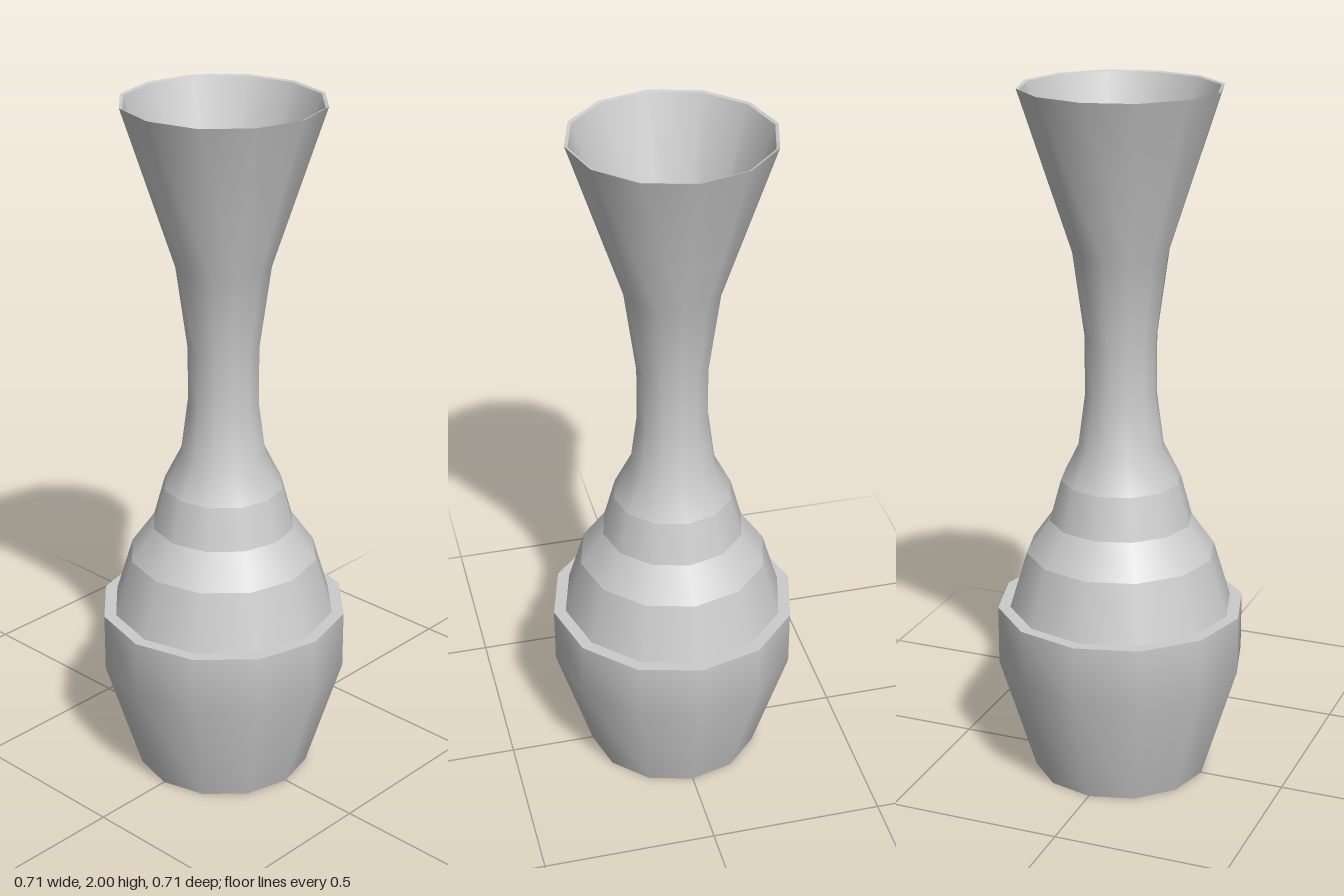
import * as THREE from 'three';
import { mergeGeometries } from 'three/addons/utils/BufferGeometryUtils.js';

const SIDES = 12;

// Each band is a list of [radius, y]; shading is smooth inside a band and sharp between bands.
function turned(name, bands, material) {
  const parts = bands.map(band =>
    new THREE.LatheGeometry(band.map(([r, y]) => new THREE.Vector2(r, y)), SIDES));
  const mesh = new THREE.Mesh(mergeGeometries(parts), material);
  mesh.name = name;
  return mesh;
}

export function createModel() {
  const group = new THREE.Group();
  group.name = 'vase';
  const material = new THREE.MeshStandardMaterial({ color: 0xcccccc });

  // Tapered foot with a flat underside and a flat ledge on top
  group.add(turned('base', [
    [[0, 0], [0.253, 0]],
    [[0.253, 0], [0.357, 0.34], [0.357, 0.51]],
    [[0.357, 0.51], [0.322, 0.51]],
  ], material));

  // Stepped shoulder
  group.add(turned('shoulder', [
    [[0.322, 0.51], [0.272, 0.675]],
    [[0.272, 0.675], [0.205, 0.77]],
    [[0.205, 0.77], [0.172, 0.89]],
  ], material));

  // Slim neck flaring into the mouth
  group.add(turned('neck', [
    [[0.172, 0.89], [0.122, 0.99], [0.102, 1.14], [0.102, 1.31], [0.135, 1.55], [0.282, 2]],
  ], material));

  // Thin lip and the hollow inside the mouth
  group.add(turned('mouth', [
    [[0.282, 2], [0.273, 1.997]],
    [[0.273, 1.997], [0.125, 1.56], [0.095, 1.5], [0.05, 1.47], [0, 1.46]],
  ], material));

  return group;
}
